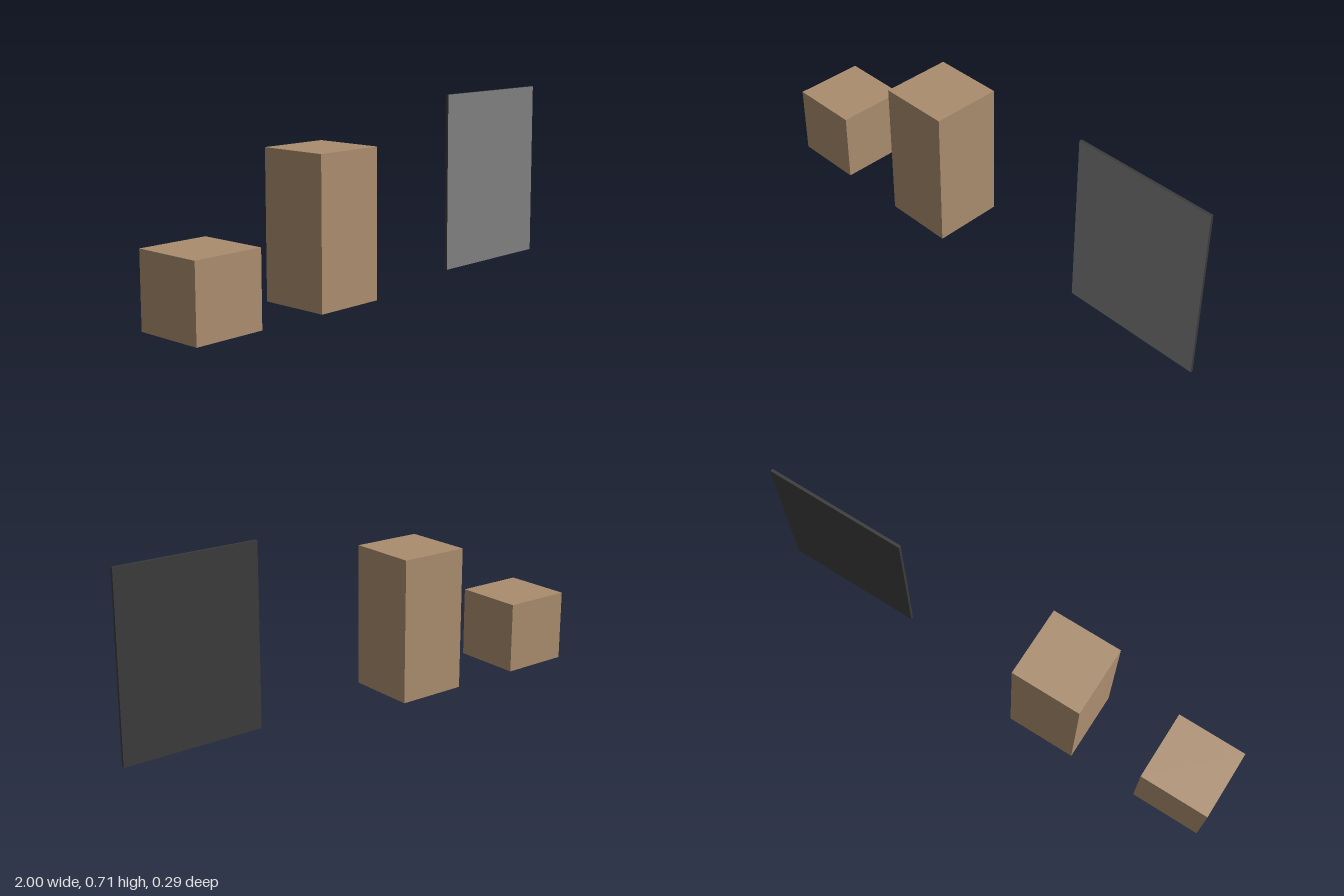
import * as THREE from 'three';

// One scale unit: the side of the small cube
const U = 2 / 7;

export function createModel() {
  const group = new THREE.Group();
  const cardboard = new THREE.MeshStandardMaterial({ name: 'cardboardBrown', color: 0xaa8d6e });
  const grey = new THREE.MeshStandardMaterial({ name: 'panelGrey', color: 0x808080 });
  const dark = new THREE.MeshStandardMaterial({ name: 'panelDark', color: 0x3b3b3b });

  // Box standing on the ground, centred on z = 0
  function addBox(name, x, width, height, depth, material) {
    const mesh = new THREE.Mesh(new THREE.BoxGeometry(width, height, depth), material);
    mesh.name = name;
    mesh.position.set(x, height / 2, 0);
    group.add(mesh);
  }

  addBox('smallBox', -3 * U, U, U, U, cardboard);
  addBox('tallBox', -U, U, 2 * U, U, cardboard);

  // Thin panel: grey front face, dark edges and back
  addBox('thinPanel', 2.5 * U, 2 * U, 2.5 * U, 0.04 * U, [dark, dark, dark, dark, grey, dark]);

  return group;
}
